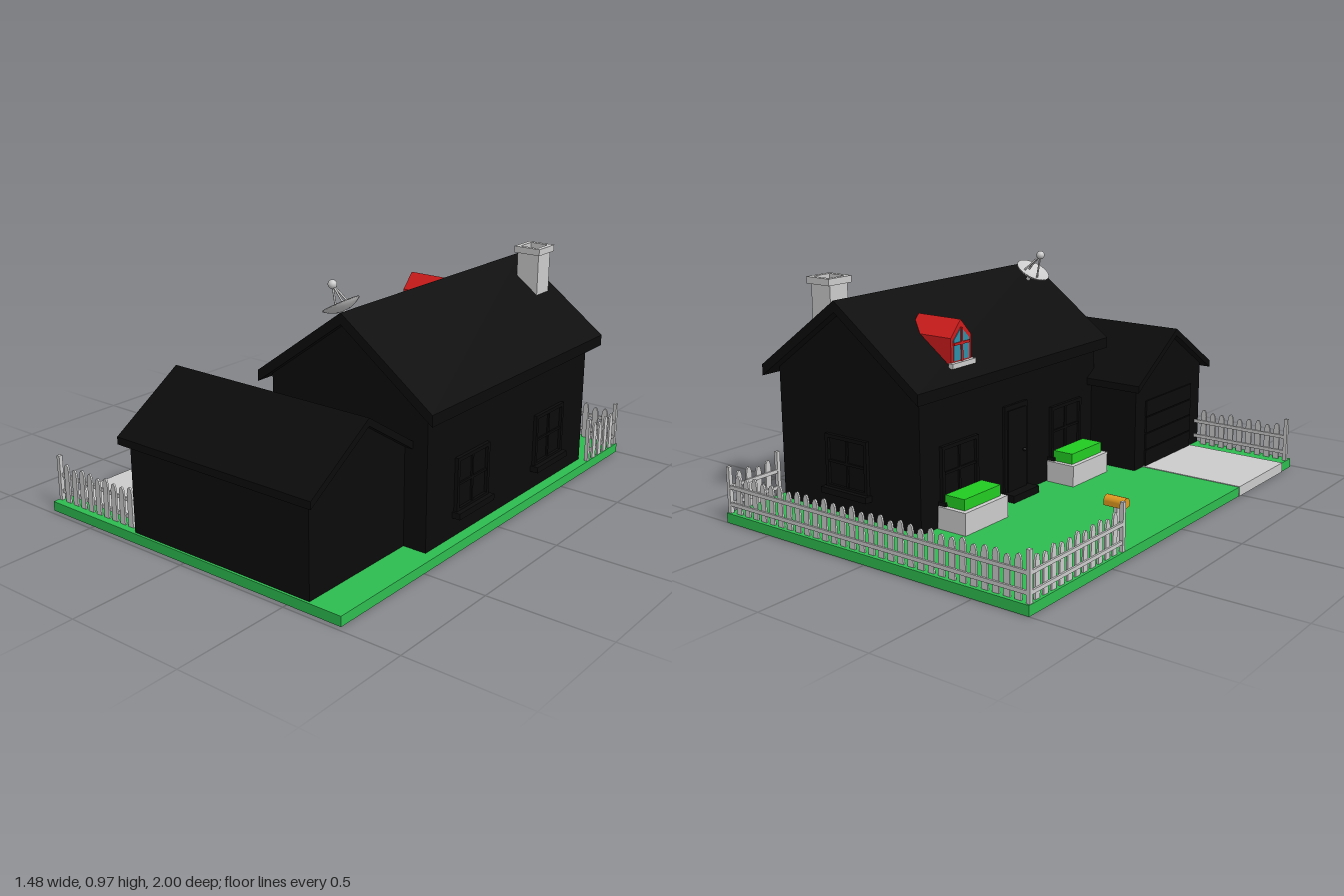
import * as THREE from 'three';

const mat = (color) => new THREE.MeshStandardMaterial({ color, side: THREE.DoubleSide });
const GREY = mat(0xcccccc), BLACK = mat(0x0b0b0b), GRASS = mat(0x2ebd50), HEDGE = mat(0x22cc22);
const RED = mat(0xd01c1c), ORANGE = mat(0xe09a20), GLASS = mat(0x2f8fa8);

function add(parent, name, geo, material) {
  const m = new THREE.Mesh(geo, material);
  m.name = name;
  parent.add(m);
  return m;
}

// Box given by its limits on each axis
function box(parent, name, material, x0, x1, y0, y1, z0, z1) {
  const m = add(parent, name, new THREE.BoxGeometry(x1 - x0, y1 - y0, z1 - z0), material);
  m.position.set((x0 + x1) / 2, (y0 + y1) / 2, (z0 + z1) / 2);
  return m;
}

const toShape = (pts) => new THREE.Shape(pts.map(([x, y]) => new THREE.Vector2(x, y)));
const rect = (x0, x1, y0, y1) => [[x0, y0], [x1, y0], [x1, y1], [x0, y1]];

// Profile of (x, y) points swept along z, or of (z, y) points swept along x
function prism(parent, name, material, pts, axis, a, b) {
  const shape = toShape(axis === 'x' ? pts.map(([z, y]) => [-z, y]) : pts);
  const geo = new THREE.ExtrudeGeometry(shape, { depth: b - a, bevelEnabled: false });
  geo.translate(0, 0, a);
  if (axis === 'x') geo.rotateY(Math.PI / 2);
  return add(parent, name, geo, material);
}

// Rectangular frame lying flat, with walls of thickness t
function ring(parent, name, material, x0, x1, y0, y1, z0, z1, t) {
  const shape = toShape(rect(x0, x1, -z1, -z0));
  shape.holes.push(toShape(rect(x0 + t, x1 - t, -z1 + t, -z0 - t)));
  const geo = new THREE.ExtrudeGeometry(shape, { depth: y1 - y0, bevelEnabled: false });
  geo.rotateX(-Math.PI / 2).translate(0, y0, 0);
  return add(parent, name, geo, material);
}

// Round bar between two points
function bar(parent, name, a, b, r) {
  const d = b.clone().sub(a);
  const m = add(parent, name, new THREE.CylinderGeometry(r, r, d.length(), 8), GREY);
  m.position.copy(a).addScaledVector(d, 0.5);
  m.quaternion.setFromUnitVectors(new THREE.Vector3(0, 1, 0), d.normalize());
}

function group(parent, name, x, y, z, turn = 0) {
  const g = new THREE.Group();
  g.name = name;
  g.position.set(x, y, z);
  g.rotation.y = turn;
  parent.add(g);
  return g;
}

// Framed window with mullions and a sill, facing local +z
function addWindow(parent, x, z, turn) {
  const g = group(parent, 'window', x, 0.25, z, turn);
  const w = 0.11, h = 0.11, t = 0.015;
  const frame = toShape(rect(-w, w, -h, h));
  frame.holes.push(toShape(rect(-w + t, w - t, -h + t, h - t)));
  add(g, 'windowFrame', new THREE.ExtrudeGeometry(frame, { depth: 0.015, bevelEnabled: false }), BLACK);
  box(g, 'windowPane', BLACK, -w + t, w - t, -h + t, h - t, -0.01, 0.003);
  box(g, 'mullion', BLACK, -0.005, 0.005, -h, h, 0, 0.01);
  box(g, 'crossbar', BLACK, -w, w, -0.005, 0.005, 0, 0.01);
  box(g, 'windowSill', BLACK, -0.12, 0.12, -0.13, -0.105, 0, 0.035);
}

// Picket fence running along local +x from a tall end post
function addFence(parent, x, z, turn, length, endPost) {
  const g = group(parent, 'fence', x, 0.04, z, turn);
  const count = Math.round(length / 0.047);
  for (let i = 1; i < count; i++) {
    const h = 0.158 + 0.007 * Math.sin(i * 2.3), w = 0.0135;
    const s = new THREE.Shape();
    s.moveTo(-w, 0);
    s.lineTo(w, 0);
    s.lineTo(w, h - 0.03);
    s.quadraticCurveTo(w * 0.8, h, 0, h);
    s.quadraticCurveTo(-w * 0.8, h, -w, h - 0.03);
    const geo = new THREE.ExtrudeGeometry(s, { depth: 0.008, bevelEnabled: false, curveSegments: 4 });
    add(g, 'picket', geo, GREY).position.x = i * length / count;
  }
  box(g, 'fenceRail', GREY, 0, length, 0.1, 0.115, -0.007, 0.001);
  box(g, 'fenceRail', GREY, 0, length, 0.03, 0.045, -0.007, 0.001);
  for (const p of endPost ? [0, length] : [0]) box(g, 'fencePost', GREY, p - 0.008, p + 0.008, 0, 0.19, -0.008, 0.008);
}

export function createModel() {
  const model = new THREE.Group();
  model.name = 'house';

  // Lawn: a shell open underneath
  const lawn = box(model, 'lawn', GRASS, -0.74, 0.74, 0, 0.04, -1, 0.98);
  const index = Array.from(lawn.geometry.index.array);
  index.splice(18, 6);
  lawn.geometry.setIndex(index);

  // Driveway with a curb down the lawn's edge
  box(model, 'driveway', GREY, -0.742, 0.49, 0.037, 0.043, 0.48, 0.89);
  box(model, 'drivewayCurb', GREY, -0.743, -0.737, 0, 0.043, 0.48, 0.89);

  // Main block and its roof
  prism(model, 'mainWalls', BLACK,
    [[-0.04, 0.041], [0.695, 0.041], [0.695, 0.6], [0.33, 0.87], [-0.04, 0.6]], 'z', -0.73, 0.43);
  prism(model, 'mainRoof', BLACK,
    [[-0.08, 0.555], [0.33, 0.855], [0.74, 0.555], [0.74, 0.6], [0.33, 0.9], [-0.08, 0.6]], 'z', -0.78, 0.47);
  ring(model, 'mainFooting', BLACK, -0.04, 0.695, 0.034, 0.042, -0.73, 0.43, 0.015);

  // Garage wing and its roof
  prism(model, 'garageWalls', BLACK,
    [[0.41, 0.041], [0.97, 0.041], [0.97, 0.43], [0.69, 0.61], [0.41, 0.43]], 'x', -0.27, 0.595);
  prism(model, 'garageRoof', BLACK,
    [[0.375, 0.4], [0.6875, 0.6], [1, 0.4], [1, 0.43], [0.6875, 0.63], [0.375, 0.43]], 'x', -0.305, 0.63);
  ring(model, 'garageFooting', BLACK, -0.27, 0.595, 0.034, 0.042, 0.41, 0.97, 0.015);
  for (let i = 0; i < 4; i++) {
    box(model, 'garageDoorPanel', BLACK, -0.278, -0.265, 0.043 + i * 0.075, 0.113 + i * 0.075, 0.49, 0.88);
  }

  // Windows on the right, left and back walls
  for (const z of [0.14, -0.43]) addWindow(model, 0.695, z, Math.PI / 2);
  for (const z of [0.2, -0.51]) addWindow(model, -0.04, z, -Math.PI / 2);
  addWindow(model, 0.33, -0.73, Math.PI);

  // Front door and step
  box(model, 'doorStep', BLACK, -0.105, -0.03, 0.034, 0.07, -0.24, -0.07);
  box(model, 'doorFrame', BLACK, -0.052, -0.03, 0.07, 0.43, -0.23, -0.08);
  box(model, 'door', BLACK, -0.058, -0.03, 0.07, 0.41, -0.215, -0.095);
  const knob = add(model, 'doorKnob', new THREE.SphereGeometry(0.008, 10, 8), BLACK);
  knob.position.set(-0.064, 0.23, -0.115);

  // Planters with hedges
  for (const z of [0.2, -0.51]) {
    ring(model, 'planter', GREY, -0.18, -0.045, 0.034, 0.13, z - 0.13, z + 0.13, 0.02);
    box(model, 'hedge', HEDGE, -0.16, -0.065, 0.042, 0.175, z - 0.11, z + 0.11);
  }

  // Dormer with window and sill
  const dormer = group(model, 'dormer', 0, 0, -0.46);
  const gable = (w, bottom, eave, top) => [[-w, bottom], [w, bottom], [w, eave], [0, top], [-w, eave]];
  prism(dormer, 'dormerBody', RED, gable(0.06, 0.62, 0.755, 0.82), 'x', -0.02, 0.19);
  prism(dormer, 'dormerGlass', GLASS, gable(0.045, 0.665, 0.745, 0.79), 'x', -0.023, -0.015);
  box(dormer, 'dormerMullion', RED, -0.027, -0.02, 0.66, 0.79, -0.005, 0.005);
  box(dormer, 'dormerCrossbar', RED, -0.027, -0.02, 0.725, 0.735, -0.047, 0.047);
  box(dormer, 'dormerSill', GREY, -0.037, -0.015, 0.64, 0.66, -0.07, 0.07);

  // Chimney with an open cap
  ring(model, 'chimneyShaft', GREY, 0.41, 0.51, 0.74, 0.945, -0.715, -0.62, 0.012);
  ring(model, 'chimneyCap', GREY, 0.4, 0.52, 0.94, 0.967, -0.73, -0.607, 0.02);
  box(model, 'chimneyFlue', GREY, 0.415, 0.505, 0.8, 0.945, -0.71, -0.625);

  // Satellite dish tilted towards the left slope
  const dish = group(model, 'satelliteDish', 0.238, 0.86, 0.335);
  dish.rotation.z = 0.52;
  const bowl = [[0, 0], [0.03, 0.004], [0.055, 0.014], [0.075, 0.027], [0.075, 0.032], [0.053, 0.019], [0, 0.006]];
  add(dish, 'bowl', new THREE.LatheGeometry(bowl.map(([x, y]) => new THREE.Vector2(x, y)), 24), GREY);
  const feed = new THREE.Vector3(0, 0.11, 0);
  add(dish, 'feed', new THREE.SphereGeometry(0.018, 16, 12), GREY).position.copy(feed);
  for (const a of [0.5, -0.5, Math.PI]) {
    bar(dish, 'strut', new THREE.Vector3(Math.cos(a) * 0.035, 0.01, Math.sin(a) * 0.035), feed, 0.004);
  }
  bar(dish, 'mount', new THREE.Vector3(0.01, -0.07, 0), new THREE.Vector3(0, 0.004, 0), 0.01);

  // Fences: back, left, right and front
  addFence(model, -0.73, -0.985, 0, 1.46, true);
  addFence(model, -0.73, -0.42, Math.PI / 2, 0.565, false);
  addFence(model, 0.73, -0.735, Math.PI / 2, 0.25, false);
  addFence(model, -0.73, 0.942, 0, 0.46, false);

  // Mailbox with a rounded top on a post
  const mailbox = group(model, 'mailbox', -0.667, 0, -0.362);
  box(mailbox, 'mailboxPost', GREY, -0.008, 0.008, 0.034, 0.19, -0.008, 0.008);
  box(mailbox, 'mailboxBody', ORANGE, -0.043, 0.043, 0.185, 0.202, -0.022, 0.022);
  const lid = add(mailbox, 'mailboxLid', new THREE.CylinderGeometry(0.022, 0.022, 0.086, 16), ORANGE);
  lid.rotation.z = Math.PI / 2;
  lid.scale.x = 0.9;
  lid.position.y = 0.202;

  return model;
}
